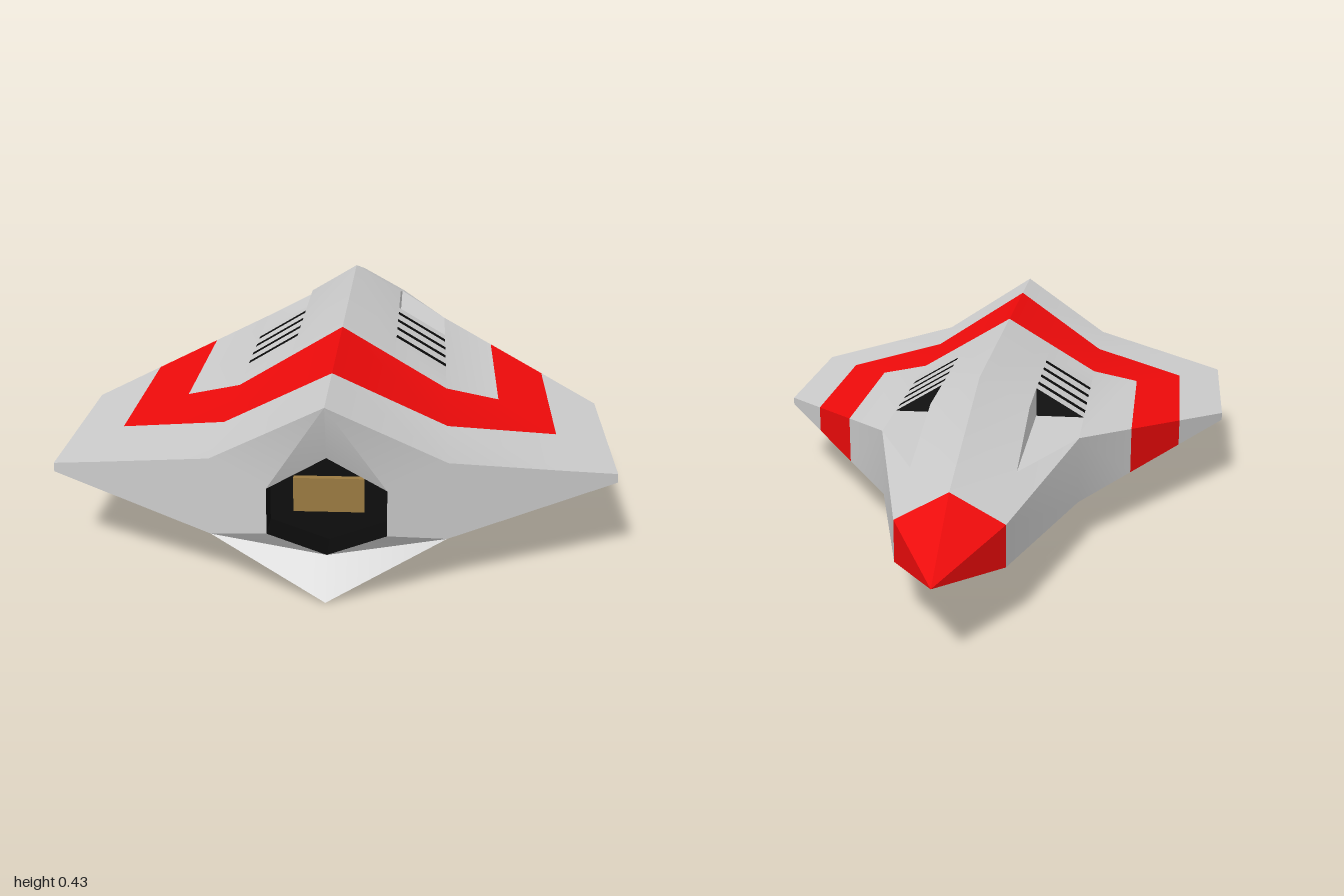
import * as THREE from 'three';
import { toCreasedNormals } from 'three/addons/utils/BufferGeometryUtils.js';

const lerp = THREE.MathUtils.lerp;
const TOP = 0.425, BOTTOM = 0, TIP_X = 0.62;

// Height of the hull skin at (x >= 0, z), upper or lower side
function skin(x, z, upper) {
  const ridge = upper ? TOP : BOTTOM, shoulder = upper ? 0.275 : 0.105;
  if (z < -0.25) {
    const t = (-0.25 - z) / 0.5;
    const r = lerp(ridge, upper ? 0.30 : 0.085, t);
    const s = lerp(shoulder, upper ? 0.23 : 0.13, t);
    return lerp(r, s, x / lerp(0.25, 0.125, t));
  }
  if (x <= 0.25) return lerp(ridge, shoulder, x / 0.25);
  return lerp(shoulder, upper ? 0.2 : 0.18, (x - 0.25) / (TIP_X - 0.25));
}
const leadZ = (x) => lerp(-0.25, 0.27, (x - 0.25) / (TIP_X - 0.25));
const rearZ = (x) => 1 - 0.4 * x;
const stripeZ = (x) => 0.77 - 0.4 * x;

export function createModel() {
  const group = new THREE.Group();
  const parts = {};

  // Adds a convex face and its mirror image, turned to face the outward direction
  function face(name, pts, out) {
    const list = (parts[name] ??= []);
    for (const side of [1, -1]) {
      const v = pts.map((p) => new THREE.Vector3(p[0] * side, p[1], p[2]));
      const dir = new THREE.Vector3(out[0] * side, out[1], out[2]);
      for (let i = 1; i < v.length - 1; i++) {
        const tri = [v[0], v[i], v[i + 1]];
        const n = new THREE.Triangle(...tri).getNormal(new THREE.Vector3());
        if (n.dot(dir) < 0) tri.reverse();
        tri.forEach((p) => list.push(p.x, p.y, p.z));
      }
    }
  }

  // Lays a plan outline of [x, z] points on the upper and lower skin
  function panel(name, outline) {
    const flat = outline.map(([x, z]) => new THREE.Vector2(x, z));
    for (const tri of THREE.ShapeUtils.triangulateShape(flat, [])) {
      for (const upper of [true, false]) {
        const pts = tri.map((i) => {
          const [x, z] = outline[i];
          return [x, skin(x, z, upper), z];
        });
        face(name, pts, [0, upper ? 1 : -1, 0]);
      }
    }
  }

  // Upright band joining the upper and lower skin between two plan points
  function band(name, [xa, za], [xb, zb], out) {
    face(name, [[xa, skin(xa, za, true), za], [xb, skin(xb, zb, true), zb],
      [xb, skin(xb, zb, false), zb], [xa, skin(xa, za, false), za]], out);
  }

  // Fuselage skin
  panel('hull', [[0, -0.75], [0.125, -0.75], [0.25, -0.25], [0.125, -0.54], [0.125, -0.25], [0, -0.25]]);
  panel('hull', [[0, -0.25], [0.125, -0.25], [0.125, 0.4], [0, 0.4]]);
  panel('hull', [[0, stripeZ(0)], [0.25, stripeZ(0.25)], [0.25, rearZ(0.25)], [0, 1]]);
  band('hull', [0.125, -0.75], [0.25, -0.25], [1, 0, 0]);

  // Black vent slots alternating with hull strips
  let z = -0.07;
  for (let i = 0; i < 4; i++) {
    const a = -0.028 + i * 0.075, b = a + 0.024;
    panel('hull', [[0.125, z], [0.25, z], [0.25, a], [0.125, a]]);
    panel('vents', [[0.125, a], [0.25, a], [0.25, b], [0.125, b]]);
    z = b;
  }
  panel('hull', [[0.125, z], [0.25, z], [0.25, 0.4], [0.125, 0.4]]);

  // Wings
  panel('hull', [[0.25, -0.25], [0.375, leadZ(0.375)], [0.375, 0.4], [0.25, 0.4]]);
  panel('hull', [[0.5, leadZ(0.5)], [TIP_X, 0.27], [TIP_X, 0.75], [0.5, rearZ(0.5)]]);
  panel('hull', [[0.25, stripeZ(0.25)], [0.5, stripeZ(0.5)], [0.5, rearZ(0.5)], [0.25, rearZ(0.25)]]);
  band('hull', [0.25, -0.25], [0.375, leadZ(0.375)], [1, 0, -1]);
  band('hull', [0.5, leadZ(0.5)], [TIP_X, 0.27], [1, 0, -1]);
  band('hull', [TIP_X, 0.27], [TIP_X, 0.75], [1, 0, 0]);
  band('hull', [TIP_X, 0.75], [0.25, 0.9], [0, 0, 1]);

  // Red stripe across the back and along the wings
  panel('stripes', [[0, 0.4], [0.25, 0.4], [0.25, stripeZ(0.25)], [0, stripeZ(0)]]);
  panel('stripes', [[0.25, 0.4], [0.375, 0.4], [0.375, leadZ(0.375)], [0.5, leadZ(0.5)],
    [0.5, stripeZ(0.5)], [0.25, stripeZ(0.25)]]);
  band('stripes', [0.375, leadZ(0.375)], [0.5, leadZ(0.5)], [1, 0, -1]);

  // Intakes: flat floor, inner wall and dark opening, above and below
  for (const upper of [true, false]) {
    const y = upper ? 0.275 : 0.105, up = upper ? 1 : -1;
    const at = (x, zz) => [x, skin(x, zz, upper), zz];
    const inner = [0.125, y, -0.07], outer = [0.25, y, -0.07];
    face('intakes', [inner, outer, at(0.25, -0.25), at(0.125, -0.54)], [0, up, 0]);
    face('intakes', [inner, at(0.125, -0.54), at(0.125, -0.25), at(0.125, -0.07)], [1, 0, 0]);
    face('intakeOpenings', [inner, outer, at(0.125, -0.07)], [0, 0, -1]);
  }

  // Red nose cone
  const hex = [[0, 0.30], [0.125, 0.23], [0.125, 0.13], [0, 0.085]];
  const noseOut = [[1, 1, 0], [1, 0, 0], [1, -1, 0]];
  for (let i = 0; i < 3; i++) {
    face('nose', [[0, 0.18, -1], [...hex[i], -0.75], [...hex[i + 1], -0.75]], noseOut[i]);
  }

  // Rear panel sloping in to the hexagonal engine well
  const rim = [[0, TOP, 1], [0.25, 0.275, 0.9], [0.25, 0.105, 0.9], [0, BOTTOM, 1]];
  const wellZ = 0.87;
  for (let i = 0; i < 3; i++) {
    const a = [...hex[i], 0.95], b = [...hex[i + 1], 0.95];
    face('rearPanel', [rim[i], rim[i + 1], b, a], [0, 0, 1]);
    face('engineWell', [a, b, [...hex[i + 1], wellZ], [...hex[i], wellZ]], noseOut[i].map((c) => -c));
  }
  face('engineWell', hex.map((p) => [...p, wellZ]), [0, 0, 1]);

  const colors = { stripes: 0xee0a0a, nose: 0xee0a0a, vents: 0x0a0a0a,
    intakeOpenings: 0x0a0a0a, engineWell: 0x0a0a0a };
  for (const [name, list] of Object.entries(parts)) {
    const geo = new THREE.BufferGeometry();
    geo.setAttribute('position', new THREE.Float32BufferAttribute(list, 3));
    const mesh = new THREE.Mesh(toCreasedNormals(geo, 0.5),
      new THREE.MeshStandardMaterial({ color: colors[name] ?? 0xcccccc }));
    mesh.name = name;
    group.add(mesh);
  }

  // Engine nozzle
  const nozzle = new THREE.Mesh(new THREE.BoxGeometry(0.15, 0.075, 0.02),
    new THREE.MeshStandardMaterial({ color: 0x9a7a40 }));
  nozzle.name = 'engineNozzle';
  nozzle.position.set(0, 0.192, wellZ + 0.005);
  group.add(nozzle);

  return group;
}
